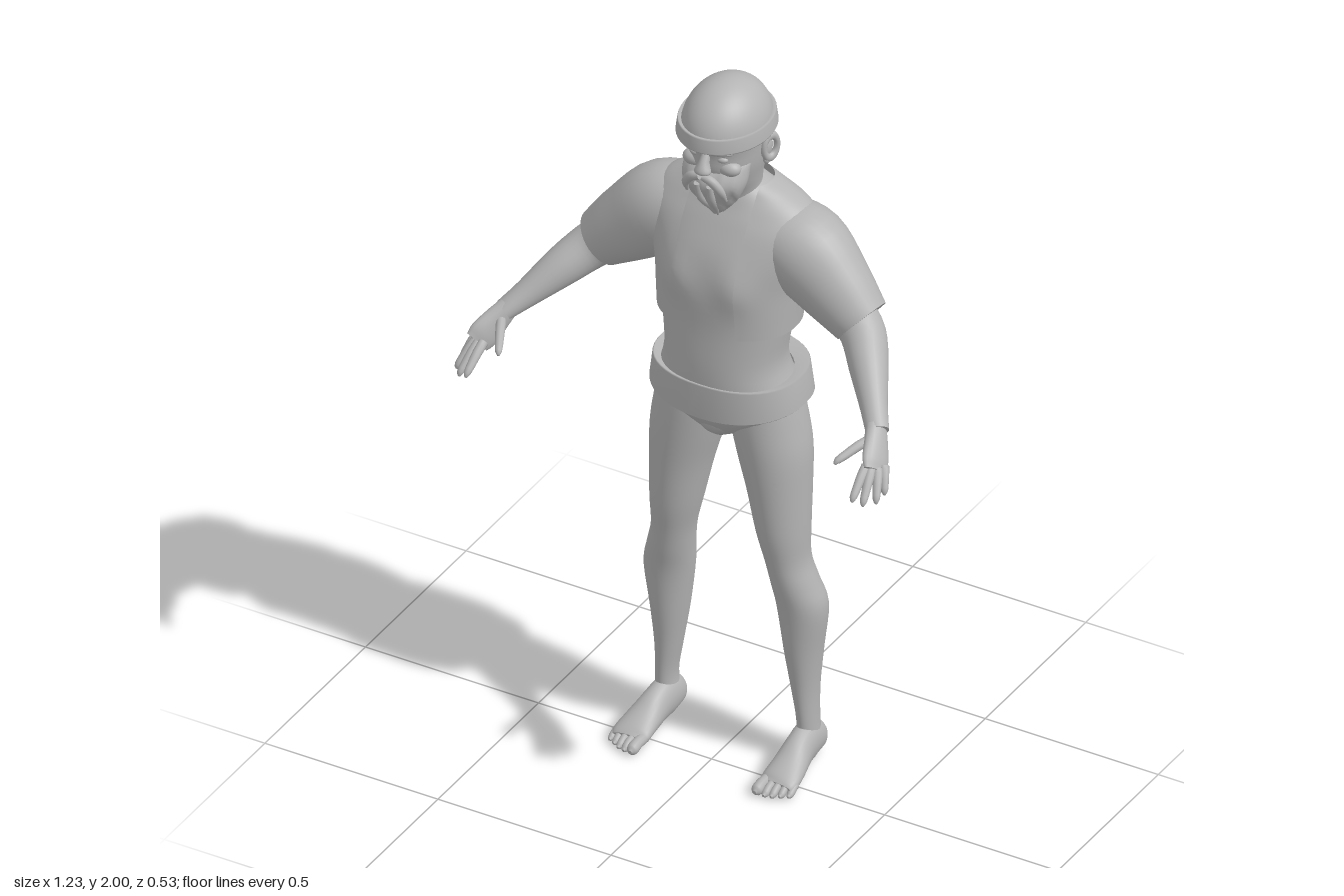
import * as THREE from 'three';

const clay = new THREE.MeshStandardMaterial({ color: 0xb4b4b4, side: THREE.DoubleSide });
clay.name = 'grey clay';

// Skin a tube through rows of [x, y, z, halfWidth, halfDepth]
function loft(rows, { n = 28, steps = 4, ref = [0, 0, -1], flat = false, p = 2, gap = 0, cap = true, shape } = {}) {
  const path = new THREE.CatmullRomCurve3(rows.map(r => new THREE.Vector3(r[0], r[1], r[2])), false, 'catmullrom');
  const size = new THREE.CatmullRomCurve3(rows.map(r => new THREE.Vector3(r[3], r[4], 0)), false, 'catmullrom');
  const m = (rows.length - 1) * steps, pos = [], idx = [], centres = [];
  const R = new THREE.Vector3(...ref);
  for (let i = 0; i <= m; i++) {
    const c = path.getPoint(i / m), s = size.getPoint(i / m);
    const T = flat ? new THREE.Vector3(0, 1, 0) : path.getTangent(i / m);
    const v = R.clone().addScaledVector(T, -T.dot(R)).normalize();
    const u = v.clone().cross(T);
    const g = gap ? Math.asin(Math.min(1, Math.pow(gap / s.x, p / 2))) : 0;
    centres.push(c);
    for (let j = 0; j <= n; j++) {
      const k = gap ? j : j % n;
      const a = -Math.PI / 2 + g + (k / n) * (2 * Math.PI - 2 * g);
      const co = Math.cos(a), si = Math.sin(a);
      const q = c.clone()
        .addScaledVector(u, Math.sign(co) * Math.abs(co) ** (2 / p) * s.x)
        .addScaledVector(v, Math.sign(si) * Math.abs(si) ** (2 / p) * s.y);
      if (shape) shape(q);
      pos.push(q.x, q.y, q.z);
    }
  }
  const w = n + 1, at = (i, j) => i * w + (gap ? j : j % n);
  for (let i = 0; i < m; i++) for (let j = 0; j < n; j++) {
    const a = at(i, j), b = at(i, j + 1), c = at(i + 1, j), d = at(i + 1, j + 1);
    idx.push(a, b, c, b, d, c);
  }
  if (cap && !gap) for (const i of [0, m]) {
    const base = pos.length / 3;
    for (let j = 0; j < n; j++) pos.push(...pos.slice(at(i, j) * 3, at(i, j) * 3 + 3));
    pos.push(centres[i].x, centres[i].y, centres[i].z);
    for (let j = 0; j < n; j++) {
      const a = base + j, b = base + (j + 1) % n;
      idx.push(base + n, ...(i ? [a, b] : [b, a]));
    }
  }
  const geo = new THREE.BufferGeometry();
  geo.setAttribute('position', new THREE.Float32BufferAttribute(pos, 3));
  geo.setIndex(idx);
  geo.computeVertexNormals();
  return geo;
}

// Chest muscles, spine groove
function anatomy(q) {
  const bell = t => Math.exp(-t * t);
  if (q.z > -0.06) q.z += 0.016 * bell((Math.abs(q.x) - 0.09) / 0.05) * bell((q.y - 1.45) / 0.06);
  else if (q.z < -0.15) q.z += 0.016 * bell(q.x / 0.03) * bell((q.y - 1.4) / 0.22);
}

export function createModel() {
  const model = new THREE.Group();
  const add = (name, geo, parent = model) => {
    const mesh = new THREE.Mesh(geo, clay);
    mesh.name = name;
    parent.add(mesh);
    return mesh;
  };
  const ball = (name, x, y, z, rx, ry, rz, parent) => {
    const mesh = add(name, new THREE.SphereGeometry(1, 28, 18), parent);
    mesh.position.set(x, y, z);
    mesh.scale.set(rx, ry, rz);
    return mesh;
  };
  // Upright rows: [y, z, halfWidth, halfDepth]
  const upright = (name, rows, opts = {}, x = 0) =>
    add(name, loft(rows.map(([y, z, a, b]) => [x, y, z, a, b]), { flat: true, ...opts }));

  // Trunk
  upright('torso', [
    [0.965, -0.06, 0.03, 0.04], [1.0, -0.08, 0.11, 0.085], [1.05, -0.09, 0.185, 0.125], [1.11, -0.085, 0.185, 0.135],
    [1.2, -0.075, 0.16, 0.128], [1.31, -0.085, 0.172, 0.132], [1.42, -0.1, 0.185, 0.145], [1.52, -0.11, 0.2, 0.135],
    [1.6, -0.122, 0.2, 0.11], [1.65, -0.125, 0.15, 0.085], [1.7, -0.12, 0.07, 0.06],
  ], { n: 48, p: 2.2, shape: anatomy });

  // Open vest shell
  upright('vest', [
    [1.31, -0.093, 0.19, 0.147], [1.37, -0.099, 0.195, 0.152], [1.44, -0.107, 0.203, 0.154], [1.52, -0.115, 0.222, 0.148],
    [1.59, -0.125, 0.235, 0.127], [1.64, -0.13, 0.205, 0.1], [1.675, -0.13, 0.15, 0.08], [1.7, -0.125, 0.1, 0.072],
  ], { n: 56, p: 2.2, gap: 0.09, shape: anatomy });

  // Wide belt wrap, raised at the sides
  upright('belt', [
    [1.15, -0.09, 0.165, 0.13], [1.158, -0.1, 0.198, 0.158], [1.155, -0.1, 0.201, 0.161],
    [1.064, -0.102, 0.212, 0.163], [1.06, -0.102, 0.208, 0.158], [1.07, -0.1, 0.18, 0.13],
  ], { n: 48, steps: 1, p: 2.3, cap: false, shape: q => { if (q.y < 1.1) q.y += 0.5 * q.x * q.x - 0.005; } });
  ball('groin', 0, 1.02, -0.035, 0.06, 0.055, 0.048);

  // Head and face
  upright('head', [
    [1.62, -0.115, 0.085, 0.06], [1.68, -0.105, 0.078, 0.07], [1.73, -0.09, 0.085, 0.09], [1.78, -0.085, 0.096, 0.11],
    [1.83, -0.085, 0.102, 0.115], [1.89, -0.08, 0.104, 0.125], [1.93, -0.08, 0.08, 0.1],
  ], { n: 36 });
  ball('brow', 0, 1.845, 0.005, 0.07, 0.016, 0.032);
  add('nose', loft([[0, 1.845, 0.02, 0.01, 0.012], [0, 1.815, 0.038, 0.014, 0.016],
    [0, 1.793, 0.045, 0.023, 0.018], [0, 1.782, 0.04, 0.012, 0.01]].reverse(), { flat: true, n: 16 }));
  upright('beard', [
    [1.63, -0.03, 0.012, 0.01], [1.66, -0.02, 0.04, 0.022], [1.7, -0.015, 0.07, 0.04],
    [1.745, -0.015, 0.088, 0.058], [1.785, -0.03, 0.09, 0.05], [1.81, -0.05, 0.092, 0.03],
  ], { n: 32, shape: q => { if (q.z > -0.04) q.z += 0.004 * Math.cos(q.x * 250); } });

  for (const s of [-1, 1]) {
    const side = s > 0 ? 'left' : 'right';
    const limb = (name, rows, opts) => add(side + name, loft(rows.map(r => [r[0] * s, ...r.slice(1)]), opts));

    // Face details
    ball(side + 'Eye', s * 0.038, 1.823, 0.013, 0.017, 0.01, 0.012);
    ball(side + 'Cheek', s * 0.05, 1.793, -0.002, 0.032, 0.022, 0.024);
    limb('Moustache', [[0.004, 1.782, 0.052, 0.01, 0.01], [0.03, 1.772, 0.05, 0.013, 0.011],
      [0.05, 1.745, 0.042, 0.011, 0.01], [0.056, 1.71, 0.025, 0.004, 0.004]], { n: 12 });
    limb('BeardStrand', [[0.018, 1.75, 0.04, 0.009, 0.01], [0.016, 1.7, 0.025, 0.011, 0.011],
      [0.008, 1.655, -0.008, 0.008, 0.008], [0.004, 1.625, -0.025, 0.003, 0.003]], { n: 12 });
    const ear = add(side + 'Ear', new THREE.TorusGeometry(0.024, 0.009, 10, 24));
    ear.position.set(s * 0.112, 1.822, -0.1);
    ear.rotation.y = s * (Math.PI / 2 - 0.35);
    ear.scale.set(0.9, 1.35, 1);
    ball(side + 'EarBowl', s * 0.104, 1.82, -0.1, 0.01, 0.03, 0.02);
    ball(side + 'EarLobe', s * 0.106, 1.787, -0.092, 0.009, 0.013, 0.011);

    // Sleeve and arm
    limb('Sleeve', [[0.1, 1.575, -0.135, 0.08, 0.1], [0.195, 1.53, -0.125, 0.12, 0.112],
      [0.29, 1.457, -0.112, 0.104, 0.093], [0.376, 1.385, -0.1, 0.077, 0.073]], { ref: [0, 0, 1], n: 32 });
    limb('Forearm', [[0.34, 1.41, -0.1, 0.06, 0.06], [0.395, 1.365, -0.075, 0.058, 0.06], [0.445, 1.32, -0.015, 0.05, 0.052],
      [0.5, 1.265, 0.055, 0.036, 0.036], [0.54, 1.228, 0.105, 0.03, 0.026]], { ref: [0, 1, 0], n: 24 });

    // Hand
    limb('Palm', [[0.53, 1.238, 0.095, 0.028, 0.024], [0.548, 1.21, 0.125, 0.036, 0.021],
      [0.565, 1.18, 0.158, 0.042, 0.018], [0.575, 1.163, 0.178, 0.036, 0.012]], { ref: [0.75, 0.55, 0], n: 18 });
    const fingers = [
      ['IndexFinger', [0.553, 1.172, 0.182], [0.558, 1.11, 0.262]], ['MiddleFinger', [0.568, 1.166, 0.182], [0.583, 1.1, 0.252]],
      ['RingFinger', [0.58, 1.165, 0.17], [0.606, 1.1, 0.225]], ['LittleFinger', [0.588, 1.167, 0.153], [0.61, 1.108, 0.19]],
      ['Thumb', [0.535, 1.215, 0.125], [0.486, 1.178, 0.224]],
    ];
    for (const [name, a, b] of fingers) {
      const rows = [[0, 0.013], [0.35, 0.0125], [0.7, 0.011], [0.93, 0.009], [1, 0.003]]
        .map(([t, r]) => [...a.map((v, k) => v + (b[k] - v) * t), r, r]);
      for (const r of rows.slice(1, 4)) r[1] += 0.006;
      limb(name, rows, { ref: [1, 0, 0], n: 10, steps: 2 });
    }

    // Leg
    limb('Leg', [
      [0.202, 0.04, -0.135, 0.032, 0.042], [0.204, 0.12, -0.13, 0.026, 0.04], [0.197, 0.22, -0.129, 0.034, 0.047],
      [0.193, 0.33, -0.128, 0.048, 0.06], [0.192, 0.46, -0.123, 0.065, 0.068], [0.178, 0.54, -0.108, 0.06, 0.067],
      [0.164, 0.61, -0.098, 0.056, 0.068], [0.153, 0.7, -0.094, 0.067, 0.08], [0.14, 0.82, -0.097, 0.081, 0.092],
      [0.124, 0.93, -0.1, 0.096, 0.102], [0.108, 1.02, -0.1, 0.098, 0.105], [0.1, 1.1, -0.095, 0.09, 0.1],
    ], { flat: true, n: 32 });
    ball(side + 'Buttock', s * 0.088, 1.025, -0.155, 0.084, 0.08, 0.092);

    // Foot
    limb('Foot', [
      [0.203, 0.036, -0.19, 0.012, 0.016], [0.203, 0.042, -0.175, 0.03, 0.038], [0.203, 0.055, -0.13, 0.036, 0.056],
      [0.206, 0.05, -0.08, 0.038, 0.052], [0.211, 0.036, -0.025, 0.046, 0.037], [0.214, 0.024, 0.025, 0.051, 0.024],
      [0.213, 0.018, 0.048, 0.045, 0.014],
    ], { ref: [0, 1, 0], n: 24, shape: q => { q.y = Math.max(q.y, 0); } });
    for (let i = 0; i < 5; i++) {
      const r = i ? 0.0105 - i * 0.0004 : 0.015;
      const x = i ? 0.184 + i * 0.0185 : 0.18;
      const tip = 0.097 - i * 0.005 - (i > 2 ? (i - 2) * 0.006 : 0);
      limb('Toe' + (i + 1), [[x, 0.02, 0.025, r, r], [x, 0.021, tip - 0.035, r, r], [x, r + 0.001, tip - 0.012, r, r],
        [x, r, tip, r * 0.35, r * 0.35]], { ref: [0, 1, 0], n: 12 });
    }
  }

  // Knitted cap with turned-up brim
  const dome = add('capDome', new THREE.SphereGeometry(1, 40, 20, 0, Math.PI * 2, 0, Math.PI / 2));
  dome.position.set(0, 1.875, -0.077);
  dome.scale.set(0.11, 0.125, 0.138);
  const profile = [[0.86, 1.868], [0.985, 1.862], [1, 1.866], [0.965, 1.9], [0.95, 1.904], [0.86, 1.9]];
  const rim = profile.map(([r, y]) => [0, y, -0.077, 0.122 * r, 0.148 * r]);
  add('capBrim', loft(rim, { flat: true, steps: 1, n: 48, cap: false }));

  return model;
}
